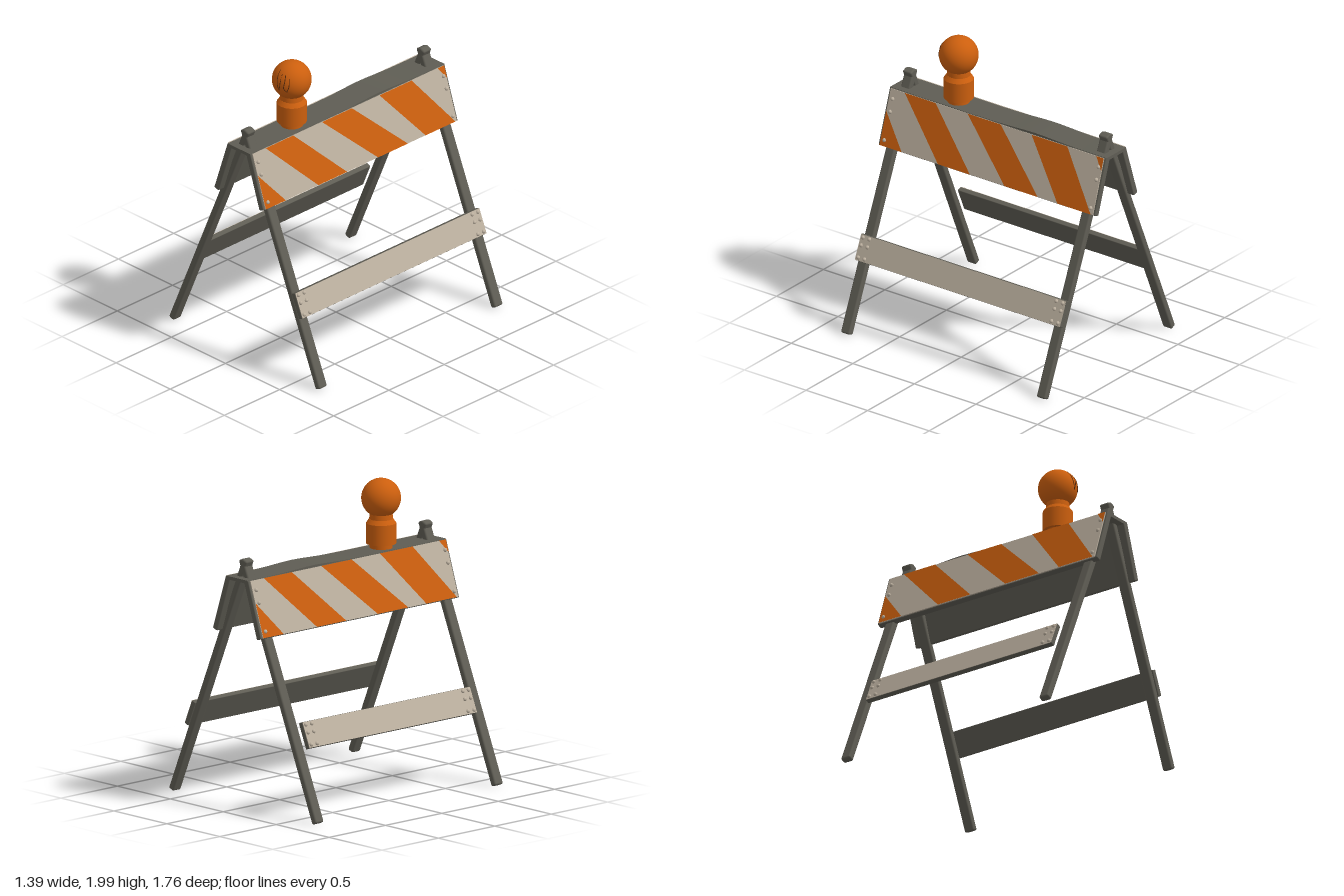
import * as THREE from 'three';
import { RoundedBoxGeometry } from 'three/addons/geometries/RoundedBoxGeometry.js';

const material = (name, color, side = THREE.FrontSide) => {
  const m = new THREE.MeshStandardMaterial({ color, side });
  m.name = name;
  return m;
};

export function createModel() {
  const orange = material('safety orange', 0xcc5f0e);
  const beige = material('worn white', 0xbdb1a0);
  const gray = material('weathered steel', 0x5f5d54);
  const dark = material('crack brown', 0x5a2a08);

  const model = new THREE.Group();
  model.name = 'barricade';

  const add = (parent, name, geometry, mat, x = 0, y = 0, z = 0) => {
    const mesh = new THREE.Mesh(geometry, mat);
    mesh.name = name;
    mesh.position.set(x, y, z);
    parent.add(mesh);
    return mesh;
  };

  // Domed bolt head facing local +x
  const boltGeo = new THREE.SphereGeometry(0.014, 10, 5, 0, Math.PI * 2, 0, Math.PI / 2);
  boltGeo.rotateZ(-Math.PI / 2);
  const bolt = (parent, x, y, z) => add(parent, 'bolt', boltGeo, beige, x, y, z);

  // Legs: the two of each pair cross at the apex
  const foot = new THREE.Vector2(0.678, 0.014);
  const tip = new THREE.Vector2(-0.018, 1.654);
  const legLength = foot.distanceTo(tip);
  const legAngle = Math.atan2(foot.x - tip.x, tip.y - foot.y);
  const legGeo = new RoundedBoxGeometry(0.046, legLength, 0.072, 2, 0.012);

  // Stripe outlines on the panel face, [along, up] from its centre
  const top = 0.19, bottom = -0.19;
  const band = (t0, t1, b0, b1) => [[b0, bottom], [b1, bottom], [t1, top], [t0, top]];
  const stripes = [
    [[-0.865, bottom], [-0.685, bottom], [-0.865, 0.04]],
    band(-0.75, -0.5, -0.39, -0.13),
    band(-0.24, 0.03, 0.15, 0.42),
    band(0.28, 0.57, 0.58, 0.85),
    [[0.865, 0.105], [0.865, top], [0.805, top]],
  ];

  // One sloping side; the other is the same turned half round
  const buildSide = (name, railLength) => {
    const side = new THREE.Group();
    side.name = name;

    for (const z of [-0.795, 0.795]) {
      const leg = add(side, 'leg', legGeo, gray, (foot.x + tip.x) / 2, (foot.y + tip.y) / 2, z);
      leg.rotation.z = legAngle;
    }

    // Striped panel: its local x points outward
    const panel = new THREE.Group();
    panel.name = 'stripedPanel';
    panel.position.set(0.17, 1.357, 0);
    panel.rotation.z = Math.atan2(0.12, 0.36);
    side.add(panel);
    add(panel, 'panelBacking', new RoundedBoxGeometry(0.042, 0.388, 1.76, 1, 0.006), gray, -0.024);
    add(panel, 'panelFace', new THREE.BoxGeometry(0.008, 0.38, 1.73), beige);
    for (const points of stripes) {
      const shape = new THREE.Shape(points.map(([u, v]) => new THREE.Vector2(u, v)));
      add(panel, 'stripe', new THREE.ShapeGeometry(shape), orange, 0.0065).rotation.y = Math.PI / 2;
    }
    for (const z of [-0.84, 0.835]) {
      for (const y of [0.125, 0.04, -0.15]) bolt(panel, 0.004, y, z);
    }

    // Lower rail: pale on its outer face only
    const rail = new THREE.Group();
    rail.name = 'lowerRail';
    rail.position.set(0.491, 0.555, 0);
    rail.rotation.z = legAngle;
    side.add(rail);
    add(rail, 'railBoard', new RoundedBoxGeometry(0.034, 0.176, railLength, 1, 0.004), gray);
    add(rail, 'railFace', new THREE.BoxGeometry(0.006, 0.172, railLength - 0.006), beige, 0.016);
    for (const end of [-1, 1]) {
      for (const inset of [0.024, 0.075]) {
        for (const y of [0.068, 0.015, -0.066]) bolt(rail, 0.018, y, end * (railLength / 2 - inset));
      }
    }
    model.add(side);
    return side;
  };
  buildSide('leftSide', 1.67);
  buildSide('rightSide', 1.49).rotation.y = Math.PI;

  // Top cover joining both panels, slightly buckled behind the middle
  const cover = new THREE.BoxGeometry(0.206, 0.022, 1.76, 2, 1, 24);
  const p = cover.attributes.position;
  for (let i = 0; i < p.count; i++) {
    p.setY(i, p.getY(i) + 0.012 * Math.exp(-(((p.getZ(i) + 0.3) / 0.2) ** 2)));
  }
  cover.computeVertexNormals();
  add(model, 'topCover', cover, gray, 0, 1.529, 0);

  // Warning lamp
  const lamp = new THREE.Group();
  lamp.name = 'warningLamp';
  lamp.position.z = 0.4;
  model.add(lamp);
  add(lamp, 'lampFoot', new THREE.CylinderGeometry(0.074, 0.074, 0.05, 32), orange, 0, 1.55, 0);
  add(lamp, 'lampBase', new THREE.CylinderGeometry(0.098, 0.098, 0.135, 32), orange, 0, 1.6375, 0);
  add(lamp, 'lampShoulder', new THREE.CylinderGeometry(0.078, 0.098, 0.028, 32), orange, 0, 1.719, 0);
  add(lamp, 'lampNeck', new THREE.CylinderGeometry(0.074, 0.078, 0.05, 32), orange, 0, 1.75, 0);
  const radius = 0.129;
  add(lamp, 'lampGlobe', new THREE.SphereGeometry(radius, 40, 28), orange, 0, 1.871, 0);

  // Cracks running down the front of the globe: [x, y] points lifted on to the sphere
  const cracks = [
    [[-0.015, 0.095], [-0.01, 0.05], [0.0, 0.0], [0.012, -0.03]],
    [[0.012, -0.03], [0.02, 0.02], [0.015, 0.08]],
    [[0.04, 0.08], [0.05, 0.04], [0.048, -0.01], [0.065, -0.03]],
    [[0.065, -0.03], [0.078, 0.01], [0.07, 0.06]],
  ];
  for (const points of cracks) {
    const path = new THREE.CatmullRomCurve3(points.map(([x, y]) =>
      new THREE.Vector3(x, y, Math.sqrt(radius ** 2 - x * x - y * y))));
    add(lamp, 'globeCrack', new THREE.TubeGeometry(path, 12, 0.003, 5), dark, 0, 1.871, 0);
  }

  return model;
}
